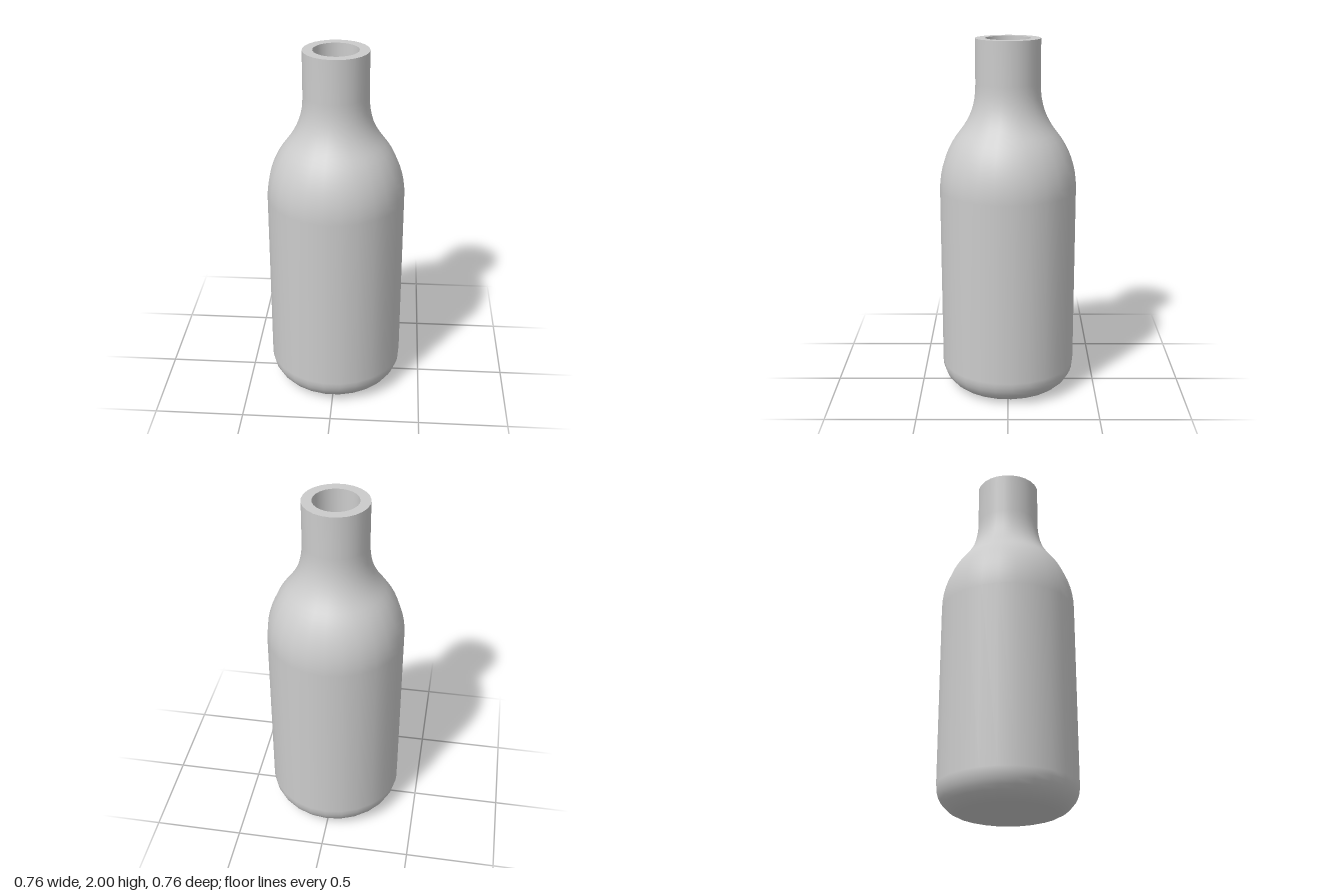
import * as THREE from 'three';

const SIDES = 25;
const v = (x, y) => new THREE.Vector2(x, y);

// Smooth profile piece from a cubic curve
const curve = (a, b, c, d, n = 8) => new THREE.CubicBezierCurve(v(...a), v(...b), v(...c), v(...d)).getPoints(n);

// Quarter round joining a flat base to an upright wall
function heel(cx, cy, r, n = 8) {
  const pts = [];
  for (let i = 0; i <= n; i++) {
    const a = (i / n) * Math.PI / 2;
    pts.push(v(cx + r * Math.sin(a), cy - r * Math.cos(a)));
  }
  return pts;
}

export function createModel() {
  const bottle = new THREE.Group();
  bottle.name = 'bottle';
  const material = new THREE.MeshStandardMaterial({ color: 0xcccccc });

  function turn(name, profile) {
    const mesh = new THREE.Mesh(new THREE.LatheGeometry(profile, SIDES, Math.PI), material);
    mesh.name = name;
    bottle.add(mesh);
  }

  // Outer wall: base, rounded heel, body, shoulder and neck
  turn('outerWall', [
    v(0, 0), v(0.2, 0),
    ...heel(0.23, 0.15, 0.15),
    ...curve([0.38, 1.17], [0.38, 1.3], [0.335, 1.41], [0.27, 1.49]),
    ...curve([0.27, 1.49], [0.21, 1.565], [0.178, 1.64], [0.178, 1.76]).slice(1),
    v(0.178, 2),
  ]);

  // Flat lip around the mouth
  turn('rim', [v(0.178, 2), v(0.123, 2)]);

  // Hollow inside, running from the mouth down to the floor
  turn('innerWall', [
    v(0.123, 2), v(0.118, 1.76),
    ...curve([0.118, 1.74], [0.118, 1.62], [0.16, 1.53], [0.22, 1.46]),
    ...curve([0.22, 1.46], [0.285, 1.385], [0.325, 1.29], [0.325, 1.17]).slice(1),
    ...heel(0.225, 0.155, 0.1).reverse(),
    v(0.2, 0.055), v(0, 0.055),
  ]);

  return bottle;
}
